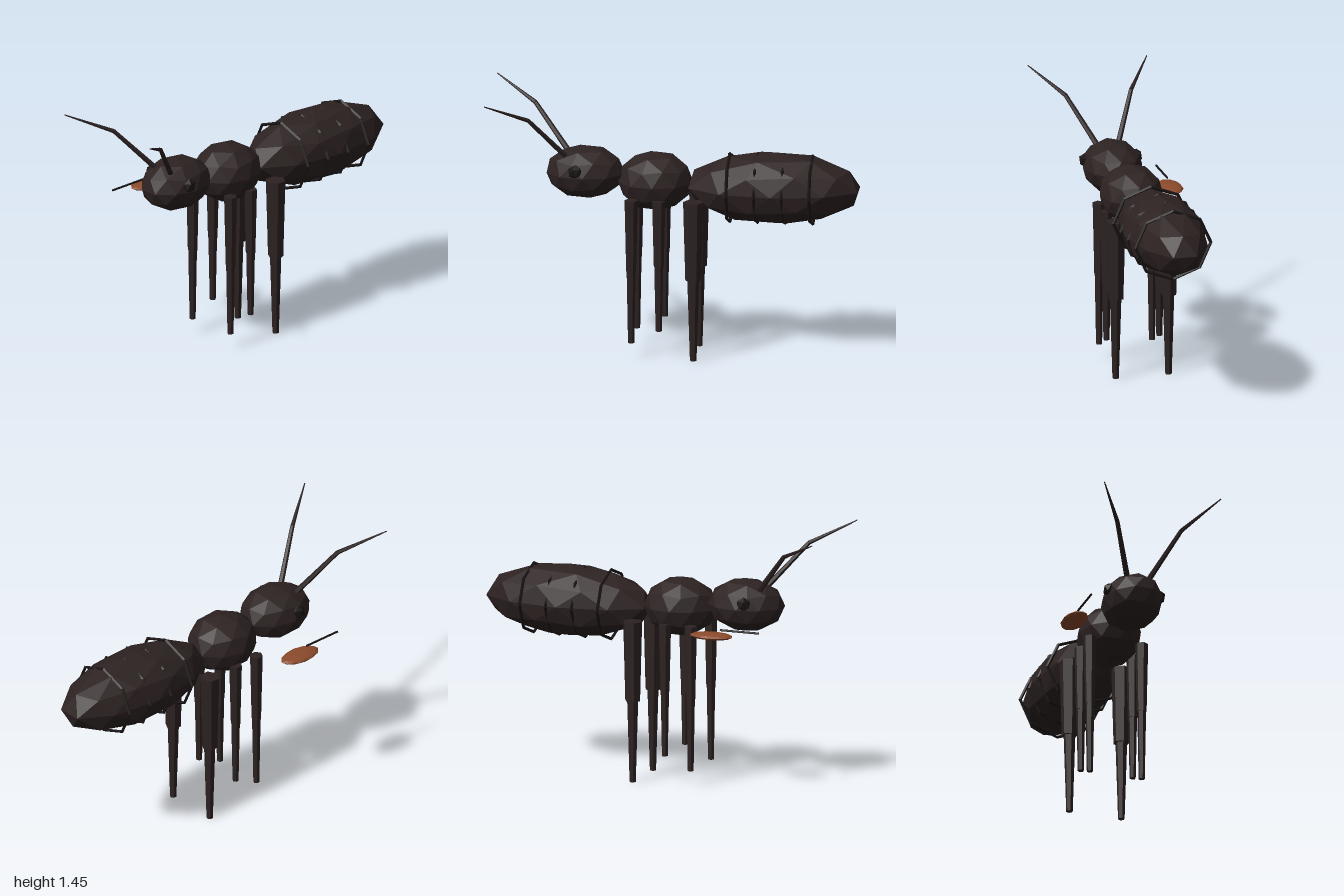
import * as THREE from 'three';

const CX = 0.0125; // centre line of the body

export function createModel() {
  const model = new THREE.Group();
  model.name = 'ant';
  const paint = (name, hex) => {
    const m = new THREE.MeshStandardMaterial({ color: hex });
    m.name = name;
    return m;
  };
  const shell = paint('dark brown shell', 0x2d2222);
  const dark = paint('near black', 0x1a1414);
  const leafBrown = paint('leaf brown', 0x8b4a2b);

  // Faceted mesh: split the vertices so every face gets its own normal
  const add = (name, geometry, material, parent = model) => {
    const g = geometry.index ? geometry.toNonIndexed() : geometry;
    g.computeVertexNormals();
    const mesh = new THREE.Mesh(g, material);
    mesh.name = name;
    parent.add(mesh);
    return mesh;
  };

  // Icosphere with a vertex pointing up, stretched to an ellipsoid
  const blob = (name, [x, y, z], [rx, ry, rz], material, detail = 1, turn = 0) => {
    const g = new THREE.IcosahedronGeometry(1, detail);
    g.rotateX(-Math.atan((1 + Math.sqrt(5)) / 2));
    g.rotateY(turn);
    g.scale(rx, ry, rz);
    g.translate(x, y, z);
    return add(name, g, material);
  };

  // Tapered rod between two points
  const rod = (name, a, b, ra, rb, sides, material, parent) => {
    const from = new THREE.Vector3(...a), to = new THREE.Vector3(...b);
    const dir = to.clone().sub(from);
    const g = new THREE.CylinderGeometry(rb, ra, dir.length(), sides);
    g.applyQuaternion(new THREE.Quaternion().setFromUnitVectors(
      new THREE.Vector3(0, 1, 0), dir.normalize()));
    const mid = from.add(to).multiplyScalar(0.5);
    g.translate(mid.x, mid.y, mid.z);
    return add(name, g, material, parent);
  };

  // Body
  blob('head', [CX, 1.003, 0.485], [0.165, 0.146, 0.215], shell);
  blob('thorax', [CX, 0.963, 0.105], [0.175, 0.163, 0.205], shell);
  blob('abdomen', [CX, 0.943, -0.54], [0.215, 0.198, 0.484], shell);

  // Thin rings around the abdomen
  for (const z of [-0.3, -0.45, -0.6, -0.75]) {
    const g = new THREE.TorusGeometry(1, 0.045, 4, 8);
    g.scale(0.211, 0.192, 0.2);
    g.translate(CX, 0.936, z);
    add('abdomenRing', g, dark);
  }

  // Legs: z, knee height, foot height, then radii at hip, knee, shin top and foot
  const legs = [
    ['frontLeg', 0.22, 0.49, 0.09, 0.036, 0.027, 0.025, 0.017],
    ['middleLeg', 0.07, 0.52, 0.16, 0.036, 0.027, 0.025, 0.017],
    ['backLeg', -0.117, 0.45, 0.0, 0.055, 0.043, 0.033, 0.018],
  ];
  for (const s of [-1, 1]) {
    const side = s > 0 ? 'left' : 'right';
    const x = CX + s * 0.148;
    for (const [name, z, knee, foot, r0, r1, r2, r3] of legs) {
      const leg = new THREE.Group();
      leg.name = `${side} ${name}`;
      model.add(leg);
      rod('thigh', [x, 0.89, z], [x, knee, z], r0, r1, 6, shell, leg);
      rod('shin', [x, knee + 0.03, z], [x, foot, z], r2, r3, 6, shell, leg);
    }

    // Eye
    blob(`${side} eye`, [CX + s * 0.143, 1.037, 0.525], [0.035, 0.04, 0.042], dark, 0);

    // Elbowed antenna
    const antenna = new THREE.Group();
    antenna.name = `${side} antenna`;
    model.add(antenna);
    const elbow = [CX + s * 0.183, 1.33, 0.775];
    rod('antennaBase', [CX + s * 0.055, 1.09, 0.575], elbow, 0.016, 0.012, 6, shell, antenna);
    rod('antennaTip', elbow, [CX + s * 0.333, 1.443, 0.998], 0.012, 0.003, 6, shell, antenna);
  }

  // Carried leaf with its stem
  blob('leaf', [-0.286, 0.886, 0.4], [0.068, 0.02, 0.124], leafBrown, 1, 0.2);
  rod('leafStem', [-0.284, 0.922, 0.45], [-0.284, 0.922, 0.675], 0.006, 0.006, 5, dark);

  return model;
}
